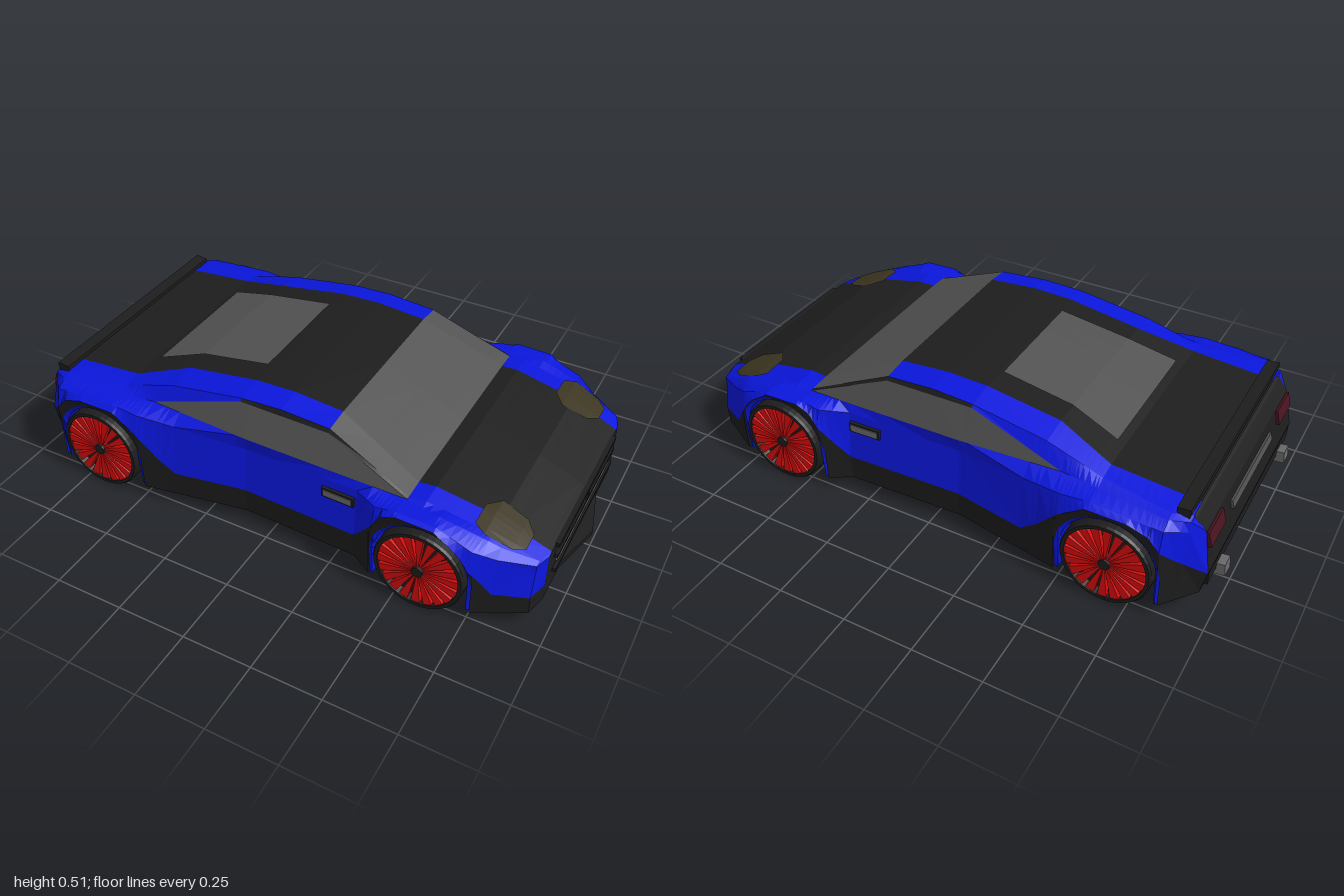
import * as THREE from 'three';

const mat = (color) => new THREE.MeshStandardMaterial({ color, flatShading: true, side: THREE.DoubleSide });
const M = { blue: mat(0x0a16dc), black: mat(0x1d1d1d), glass: mat(0x525252), red: mat(0xd80d0d),
  lamp: mat(0x3b3420), tail: mat(0x4a1420), metal: mat(0x6a6a6a) };
const WHEELS = [-0.67, 0.585], AXLE_Y = 0.157, ARCH = 0.165, LIP = 0.179, FLOOR = 0.05;

// Linear interpolation through [x, value] pairs
function track(pairs, x) {
  if (x <= pairs[0][0]) return pairs[0][1];
  for (let i = 1; i < pairs.length; i++) {
    const [x0, a] = pairs[i - 1], [x1, b] = pairs[i];
    if (x <= x1) return a + (b - a) * (x - x0) / (x1 - x0);
  }
  return pairs[pairs.length - 1][1];
}
// Height of the wheel opening above the floor line
function archY(x, r) {
  for (const c of WHEELS) if (Math.abs(x - c) < r) return AXLE_Y + Math.sqrt(r * r - (x - c) ** 2);
  return track([[-0.95, 0.075], [-0.84, FLOOR]], x);
}

// Body lines running along the car: height y and half width z
const WIDE = [[-.95, .43], [-.84, .535], [-.5, .535], [-.1, .465], [.33, .48], [.42, .535], [.75, .535], [.93, .44], [.95, .36]];
const LINES = {
  flareY: [[-.95, .17], [-.88, .24], [-.8, .33], [-.73, .352], [-.59, .352], [-.5, .29], [-.42, .2], [-.36, .15], [.33, .15],
    [.38, .22], [.45, .33], [.5, .352], [.63, .348], [.7, .29], [.78, .2], [.82, .14], [.95, .12]],
  shoulderY: [[-.95, .32], [-.84, .355], [-.6, .37], [-.1, .32], [.33, .33], [.49, .356], [.63, .353], [.75, .305], [.93, .22], [.95, .21]],
  beltY: [[-.95, .36], [-.84, .375], [-.47, .385], [0, .37], [.5, .355], [.62, .356], [.78, .315], [.95, .238]],
  beltZ: [[-.95, .42], [-.84, .48], [-.47, .445], [-.1, .455], [.5, .445], [.62, .47], [.78, .455], [.93, .42], [.95, .36]],
  glassY: [[-.47, .385], [-.13, .488], [.2, .478], [.5, .355]],
  glassZ: [[-.47, .445], [-.13, .413], [.2, .408], [.5, .445]],
  railY: [[-.95, .37], [-.84, .38], [-.6, .395], [-.4, .455], [-.13, .497], [.02, .503], [.2, .49], [.5, .358], [.56, .362], [.78, .318], [.95, .245]],
  railZ: [[-.95, .4], [-.84, .45], [-.6, .42], [-.4, .41], [.2, .4], [.5, .435], [.78, .42], [.93, .4], [.95, .36]],
  roofY: [[-.95, .375], [-.84, .385], [-.6, .405], [-.4, .468], [-.13, .51], [.02, .515], [.2, .5], [.5, .362], [.56, .366], [.78, .322], [.95, .25]],
  roofZ: [[-.95, .36], [-.6, .36], [-.4, .31], [.2, .31], [.5, .36], [.95, .34]],
};

// Half cross-section from the floor centre, out over the wheel well and up to the roof centre
function section(x) {
  const L = {};
  for (const k in LINES) L[k] = track(LINES[k], x);
  const w = track(WIDE, x), a = archY(x, ARCH), lip = Math.max(archY(x, LIP), a);
  const floor = Math.min(a, track([[-.95, .075], [-.84, FLOOR]], x));
  const flare = Math.max(L.flareY, lip + 0.004), shoulder = Math.max(L.shoulderY, flare), belt = Math.max(L.beltY, shoulder);
  const hasGlass = x > -.47 && x < .5;
  const rows = [[floor, 0], [floor, .27], [a, .27], [a, w - .018], [lip, w - .006], [flare, w],
    [shoulder, w - (x > .94 ? 0 : .02)], [belt, L.beltZ],
    hasGlass ? [L.glassY, L.glassZ] : [belt, L.beltZ],
    [L.railY, L.railZ], [L.roofY, L.roofZ], [L.roofY, 0]];
  // The tail leans forward towards the deck
  const tail = [.01, .01, .01, .01, 0, -.02, .01, .045, .045, .06, .065, .065];
  return rows.map(([y, z], j) => new THREE.Vector3(x + (x <= -.95 ? tail[j] : 0), y, z));
}

const flip = (p, s) => [p.x, p.y, p.z * s];
function meshFrom(name, material, data) {
  const g = new THREE.BufferGeometry();
  g.setAttribute('position', new THREE.Float32BufferAttribute(data, 3));
  g.computeVertexNormals();
  const m = new THREE.Mesh(g, material);
  m.name = name;
  return m;
}
// Adds a quad, with its winding reversed on the mirrored side
function quad(out, a, b, c, d, s) {
  const [p, q, r, t] = s > 0 ? [a, b, c, d] : [a, d, c, b];
  for (const v of [p, q, r, p, r, t]) out.push(...flip(v, s));
}

function paint(x, j) {
  if (j < 2) return 'black';
  if (j < 4) return WHEELS.some((c) => Math.abs(x - c) < LIP) ? 'blue' : 'black';
  if (j === 4) return 'black';
  if (j === 7) return 'glass';
  if (j === 8) return x > -.13 && x < .5 ? 'black' : 'blue';
  if (j > 8 && x > .2 && x < .5) return 'glass';
  return j === 10 ? 'black' : 'blue';
}

function buildBody(group) {
  const xs = new Set([.93, -.9]);
  for (const k in LINES) LINES[k].forEach(([x]) => xs.add(x));
  WIDE.forEach(([x]) => xs.add(x));
  for (const c of WHEELS) {
    for (const r of [ARCH, LIP]) for (const e of [-1e-4, 1e-4]) xs.add(c + r + e).add(c - r - e);
    for (let i = 1; i < 16; i++) xs.add(c + ARCH * Math.cos(Math.PI * i / 16));
  }
  const st = [...xs].sort((a, b) => a - b), grid = st.map(section);
  const bins = { blue: [], black: [], glass: [] };
  for (const s of [1, -1]) for (let i = 0; i + 1 < st.length; i++) for (let j = 0; j < 11; j++)
    quad(bins[paint((st[i] + st[i + 1]) / 2, j)], grid[i][j], grid[i + 1][j], grid[i + 1][j + 1], grid[i][j + 1], s);
  // Closed nose and tail
  for (const [sec, s] of [[grid[0], -1], [grid[grid.length - 1], 1]]) for (let j = 0; j < 11; j++) {
    const m = (p) => new THREE.Vector3(p.x, p.y, -p.z);
    quad(bins.black, sec[j], m(sec[j]), m(sec[j + 1]), sec[j + 1], s);
  }
  group.add(meshFrom('bodyPaint', M.blue, bins.blue), meshFrom('darkBodyPanels', M.black, bins.black), meshFrom('windows', M.glass, bins.glass));
}

// Panel laid on the upper surface; rows are [x, zInner, zOuter]
function drape(name, material, rows, s = 1) {
  const n = 6, out = [];
  const at = ([x, z0, z1], k) => {
    const z = z0 + (z1 - z0) * k / n;
    const line = section(x).slice(7).reverse().map((p) => [p.z, p.y]);
    return new THREE.Vector3(x, track(line, Math.abs(z)) + .006, z);
  };
  for (let i = 0; i + 1 < rows.length; i++) for (let k = 0; k < n; k++)
    quad(out, at(rows[i], k), at(rows[i], k + 1), at(rows[i + 1], k + 1), at(rows[i + 1], k), s);
  return meshFrom(name, material, out);
}

function box(name, material, [w, h, d], [x, y, z], tilt = 0, turn = 0) {
  const m = new THREE.Mesh(new THREE.BoxGeometry(w, h, d), material);
  m.position.set(x, y, z);
  m.rotation.set(0, turn, tilt);
  m.name = name;
  return m;
}

function buildWheel(x, s) {
  const wheel = new THREE.Group();
  wheel.name = 'wheel';
  const tyre = [[0, -.13], [.15, -.13], [.157, -.122], [.157, .122], [.152, .13], [.14, .13], [.137, .1], [0, .1]];
  const t = new THREE.Mesh(new THREE.LatheGeometry(tyre.map(([r, y]) => new THREE.Vector2(r, y)), 40), M.black);
  t.rotation.x = Math.PI / 2;
  t.name = 'tyre';
  wheel.add(t);
  // Tapered red spokes around a dark hub
  const blade = new THREE.Shape([[.02, -.002], [.143, -.016], [.143, .016], [.02, .002]].map((p) => new THREE.Vector2(...p)));
  const geo = new THREE.ExtrudeGeometry(blade, { depth: .018, bevelEnabled: false });
  for (let i = 0; i < 20; i++) {
    const spoke = new THREE.Mesh(geo, M.red);
    spoke.position.z = .108;
    spoke.rotation.z = i * Math.PI / 10;
    spoke.name = 'spoke';
    wheel.add(spoke);
  }
  const hub = new THREE.Mesh(new THREE.CylinderGeometry(.02, .024, .03, 12), M.black);
  hub.rotation.x = Math.PI / 2;
  hub.position.z = .117;
  hub.name = 'hub';
  wheel.add(hub);
  wheel.position.set(x, AXLE_Y, s * .408);
  if (s < 0) wheel.rotation.y = Math.PI;
  return wheel;
}

export function createModel() {
  const car = new THREE.Group();
  car.name = 'sportsCar';
  buildBody(car);
  car.add(drape('engineCover', M.glass, [[-.575, -.255, .255], [-.4, -.225, .225], [-.14, -.22, .22]]));

  // Pointed front splitter
  const lip = new THREE.Shape([[.84, -.47], [.93, -.43], [.95, -.2], [1, 0], [.95, .2], [.93, .43], [.84, .47]].map((p) => new THREE.Vector2(...p)));
  const splitter = new THREE.Mesh(new THREE.ExtrudeGeometry(lip, { depth: .02, bevelEnabled: false }), M.black);
  splitter.rotation.x = -Math.PI / 2;
  splitter.position.y = .05;
  splitter.name = 'splitter';
  car.add(splitter);

  // Nose bars, rear wing and rear bumper
  for (const y of [.133, .197, .245]) car.add(box('noseBar', M.black, [.025, .014, .6], [.95, y, 0]));
  car.add(box('noseDivider', M.black, [.022, .04, .016], [.952, .222, 0]));
  car.add(box('lowerGrille', M.metal, [.01, .036, .54], [.952, .165, 0]));
  car.add(box('rearWing', M.black, [.045, .018, .88], [-.872, .393, 0], -.1));
  car.add(box('rearVent', M.glass, [.012, .03, .4], [-.954, .265, 0], -.25));
  car.add(box('rearBumper', M.black, [.03, .05, .84], [-.955, .14, 0]));

  for (const s of [1, -1]) {
    car.add(box('upperGrille', M.metal, [.01, .026, .24], [.952, .222, s * .128]));
    car.add(drape('headlight', M.lamp, [[.72, .33, .42], [.76, .28, .445], [.85, .29, .43], [.885, .33, .4]], s));
    car.add(box('tailLight', M.tail, [.02, .055, .13], [-.947, .285, s * .345], -.25));
    car.add(box('wingMount', M.black, [.04, .04, .02], [-.872, .375, s * .43]));
    car.add(box('exhaust', M.metal, [.04, .045, .05], [-.98, .115, s * .315], -.1));
    car.add(box('doorVentFrame', M.black, [.12, .036, .012], [.265, .282, s * .468], 0, -s * .03));
    car.add(box('doorVent', M.metal, [.105, .024, .016], [.265, .282, s * .469], 0, -s * .03));
    for (const x of WHEELS) car.add(buildWheel(x, s));
  }
  return car;
}
